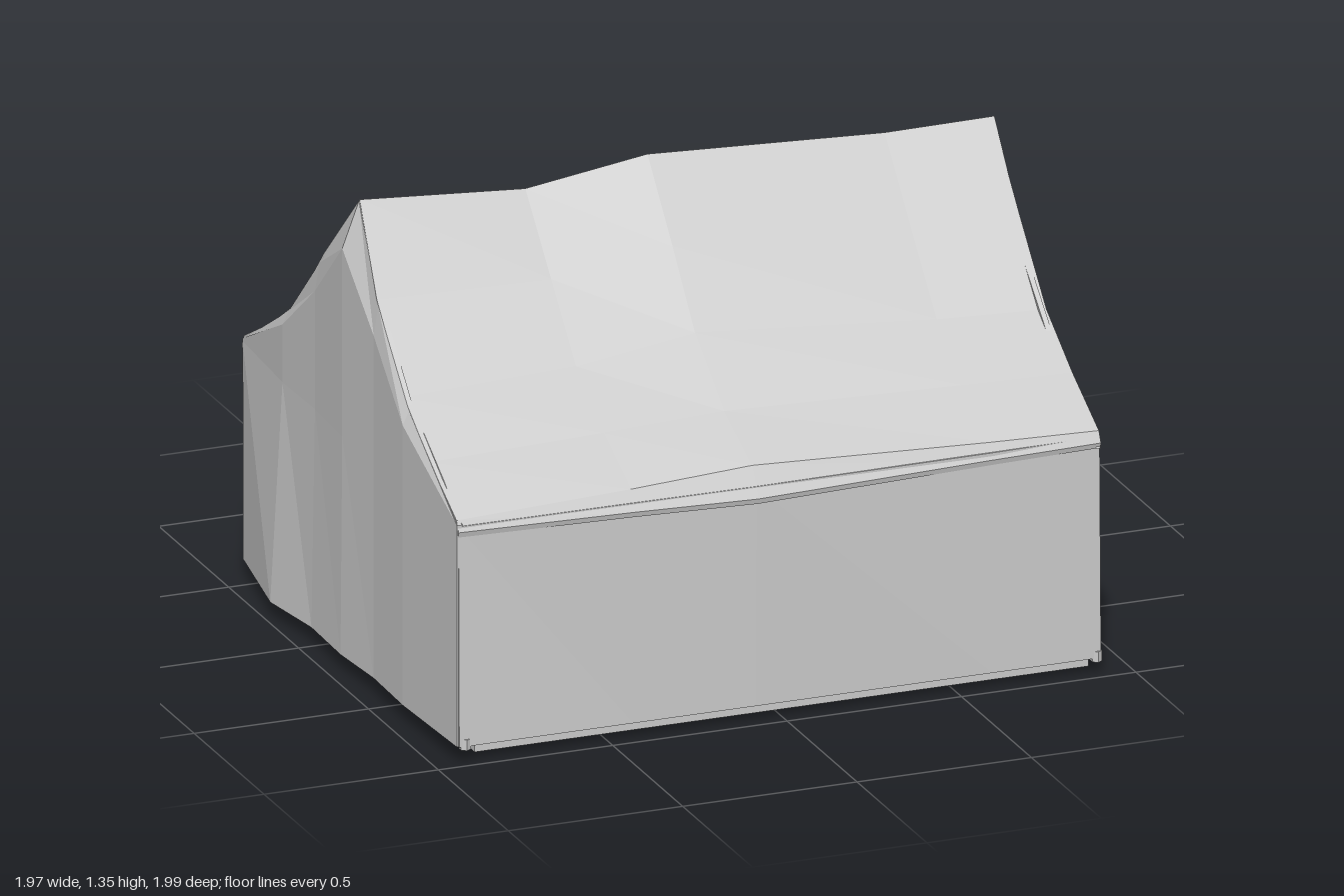
import * as THREE from 'three';

const canvasMat = new THREE.MeshStandardMaterial({ color: 0xcccccc, flatShading: true, side: THREE.DoubleSide });
const woodMat = new THREE.MeshStandardMaterial({ color: 0xcccccc, flatShading: true });

const RIDGE_Z = 0.2;

// Thick cloth from a grid of points; off is the shift to its second layer.
function cloth(name, rows, off) {
  const verts = [];
  const quad = (a, b, c, d) => verts.push(...a, ...b, ...c, ...a, ...c, ...d);
  const back = rows.map(r => r.map(p => p.map((v, k) => v + off[k])));
  const nr = rows.length - 1, nc = rows[0].length - 1;
  for (const g of [rows, back])
    for (let i = 0; i < nr; i++)
      for (let j = 0; j < nc; j++) quad(g[i][j], g[i][j + 1], g[i + 1][j + 1], g[i + 1][j]);
  for (const i of [0, nr])
    for (let j = 0; j < nc; j++) quad(rows[i][j], rows[i][j + 1], back[i][j + 1], back[i][j]);
  for (const j of [0, nc])
    for (let i = 0; i < nr; i++) quad(rows[i][j], rows[i + 1][j], back[i + 1][j], back[i][j]);
  const geo = new THREE.BufferGeometry();
  geo.setAttribute('position', new THREE.Float32BufferAttribute(verts, 3));
  geo.computeVertexNormals();
  const mesh = new THREE.Mesh(geo, canvasMat);
  mesh.name = name;
  return mesh;
}

function box(name, x0, x1, y0, y1, z0, z1) {
  const mesh = new THREE.Mesh(new THREE.BoxGeometry(x1 - x0, y1 - y0, z1 - z0), woodMat);
  mesh.position.set((x0 + x1) / 2, (y0 + y1) / 2, (z0 + z1) / 2);
  mesh.name = name;
  return mesh;
}

// Round pole between two points
function pole(name, a, b, r, sides = 6) {
  const p = new THREE.Vector3(...a), q = new THREE.Vector3(...b);
  const dir = q.clone().sub(p);
  const mesh = new THREE.Mesh(new THREE.CylinderGeometry(r, r, dir.length(), sides), woodMat);
  mesh.position.copy(p).add(q).multiplyScalar(0.5);
  mesh.quaternion.setFromUnitVectors(new THREE.Vector3(0, 1, 0), dir.normalize());
  mesh.name = name;
  return mesh;
}

// Roof section: distance from the ridge, height
const profile = [[0, 1.33], [0.19, 1.115], [0.385, 0.905], [0.57, 0.785], [0.76, 0.685], [0.775, 0.655]];
// The same section pulled up and out at mid length
const bulged = [[0, 1.345], [0.18, 1.145], [0.34, 0.955], [0.55, 0.805], [0.75, 0.72], [0.795, 0.64]];

function roofHeight(z) {
  const d = Math.abs(z - RIDGE_Z);
  for (let i = 1; i < 5; i++) {
    const [d0, y0] = profile[i - 1], [d1, y1] = profile[i];
    if (d <= d1) return y0 + (y1 - y0) * (d - d0) / (d1 - d0);
  }
  return 0.675;
}

export function createModel() {
  const model = new THREE.Group();
  model.name = 'tent';

  // Roof: both slopes sag between uneven stations along the ridge
  const stations = [[-0.92, 0, 0], [-0.43, 0.5, -0.042], [-0.08, 1, 0], [0.6, 0.25, -0.022], [0.91, 0, -0.015]];
  for (const s of [1, -1]) {
    const rows = profile.map(([d, y], i) => stations.map(([x, k, dy]) => {
      const edge = x < -0.9 ? (i === 0 ? 0.015 : -0.012) : 0;
      return [
        x + edge,
        y + (bulged[i][1] - y) * k + dy * Math.max(0, 1 - i / 3),
        RIDGE_Z + s * (d + (bulged[i][0] - d) * k),
      ];
    }));
    model.add(cloth(s > 0 ? 'frontRoofSlope' : 'backRoofSlope', rows, [0, -0.015, -0.004 * s]));

    // Wavy valance along the open gable
    const inner = [[0, 1.28], [0.16, 1.0], [0.38, 0.83], [0.6, 0.66], [0.71, 0.645], [0.765, 0.65]];
    const flare = [0.92, 0.94, 0.915, 0.935, 0.925, 0.912];
    model.add(cloth('gableValance', [
      profile.map(([d, y], i) => [0.9 + (i ? 0.008 : 0.015), y - 0.015, RIDGE_Z + s * d]),
      inner.map(([d, y], i) => [flare[i], y, RIDGE_Z + s * d]),
    ], [-0.012, 0, 0]));
  }

  // Front wall
  const wallX = [-0.93, -0.43, -0.08, 0.6, 0.91];
  model.add(cloth('frontWall', [
    wallX.map((x, i) => [x, 0.67, [0.97, 0.975, 0.98, 0.975, 0.965][i]]),
    wallX.map(x => [x, 0.045, 0.975]),
  ], [0, 0, -0.015]));

  // Back wall, split around its doorway
  const backZ = -0.572;
  const backPanel = (name, x0, x1, y0, y1) =>
    model.add(cloth(name, [[[x0, y1, backZ], [x1, y1, backZ]], [[x0, y0, backZ], [x1, y0, backZ]]], [0, 0, 0.015]));
  backPanel('backWall', -0.93, -0.11, 0.045, 0.67);
  backPanel('backWall', 0.25, 0.91, 0.045, 0.67);
  backPanel('backDoorLintel', -0.11, 0.25, 0.63, 0.67);

  // Closed gable with billowing cloth
  const closedZ = [-0.57, -0.24, -0.02, RIDGE_Z, 0.4, 0.62, 0.97];
  const footX = [-0.93, -0.985, -0.955, -0.96, -0.945, -0.95, -0.935];
  const beltX = [-0.932, -0.95, -0.945, -0.955, -0.945, -0.95, -0.935];
  model.add(cloth('closedGable', [
    closedZ.map((z, i) => [i === 3 ? -0.907 : -0.932, roofHeight(z) - 0.004, z]),
    closedZ.map((z, i) => [beltX[i], 0.67 + (roofHeight(z) - 0.67) * 0.8, z]),
    closedZ.map((z, i) => [beltX[i], 0.665, z]),
    closedZ.map((z, i) => [footX[i], 0.045, z]),
  ], [0.015, 0, 0]));

  // Open gable: cloth over the door, and side panels flaring out at the door edges
  const topZ = [-0.57, -0.32, -0.056, RIDGE_Z, 0.43, 0.72, 0.965];
  model.add(cloth('openGableTop', [
    topZ.map(z => [0.9, roofHeight(z) - 0.02, z]),
    topZ.map(z => [0.907, 0.67, z]),
  ], [-0.015, 0, 0]));
  const sidePanels = [
    { top: [0.43, 0.62, 0.965], foot: [0.456, 0.62, 0.97] },
    { top: [-0.056, -0.22, -0.57], foot: [-0.08, -0.22, -0.572] },
  ];
  for (const { top, foot } of sidePanels)
    model.add(cloth('openGableSide', [
      top.map(z => [0.907, 0.67, z]),
      foot.map((z, i) => [[0.98, 0.945, 0.91][i], 0.055, z]),
    ], [-0.015, 0, 0]));

  // Floor and the support pole inside
  model.add(box('floor', -0.86, 0.9, 0, 0.06, -0.53, 0.91));
  model.add(pole('tentPole', [-0.87, 0.06, RIDGE_Z], [-0.87, 1.29, RIDGE_Z], 0.022));

  // Awning over the back doorway with posts on floor beams
  const awning = [[-0.11, 0.25, 0.635, -0.572], [-0.12, 0.255, 0.55, -0.79], [-0.115, 0.255, 0.54, -0.91], [-0.095, 0.24, 0.47, -0.995]];
  model.add(cloth('awning', awning.map(([x0, x1, y, z]) => [[x0, y, z], [x1, y, z]]), [0, -0.015, 0.006]));
  for (const x of [-0.066, 0.22]) {
    model.add(box('awningBeam', x - 0.035, x + 0.035, 0, 0.06, -0.9, -0.52));
    model.add(pole('awningPost', [x, 0.055, -0.842], [x, 0.587, -0.93], 0.014));
  }

  // Pegs holding down the cloth
  const pegs = [[-0.91, 0.965], [0.9, 0.965], [-0.91, -0.56], [0.9, -0.56], [-0.4, -0.56], [0.5, -0.56]];
  for (const [x, z] of pegs) model.add(pole('peg', [x, 0.035, z], [x, 0.065, z], 0.016));
  for (const z of [0.38, -0.18]) {
    const peg = new THREE.Mesh(new THREE.ConeGeometry(0.015, 0.04, 5), woodMat);
    peg.rotation.x = Math.PI;
    peg.position.set(0.915, 0.045, z);
    peg.name = 'doorPeg';
    model.add(peg);
  }
  return model;
}
